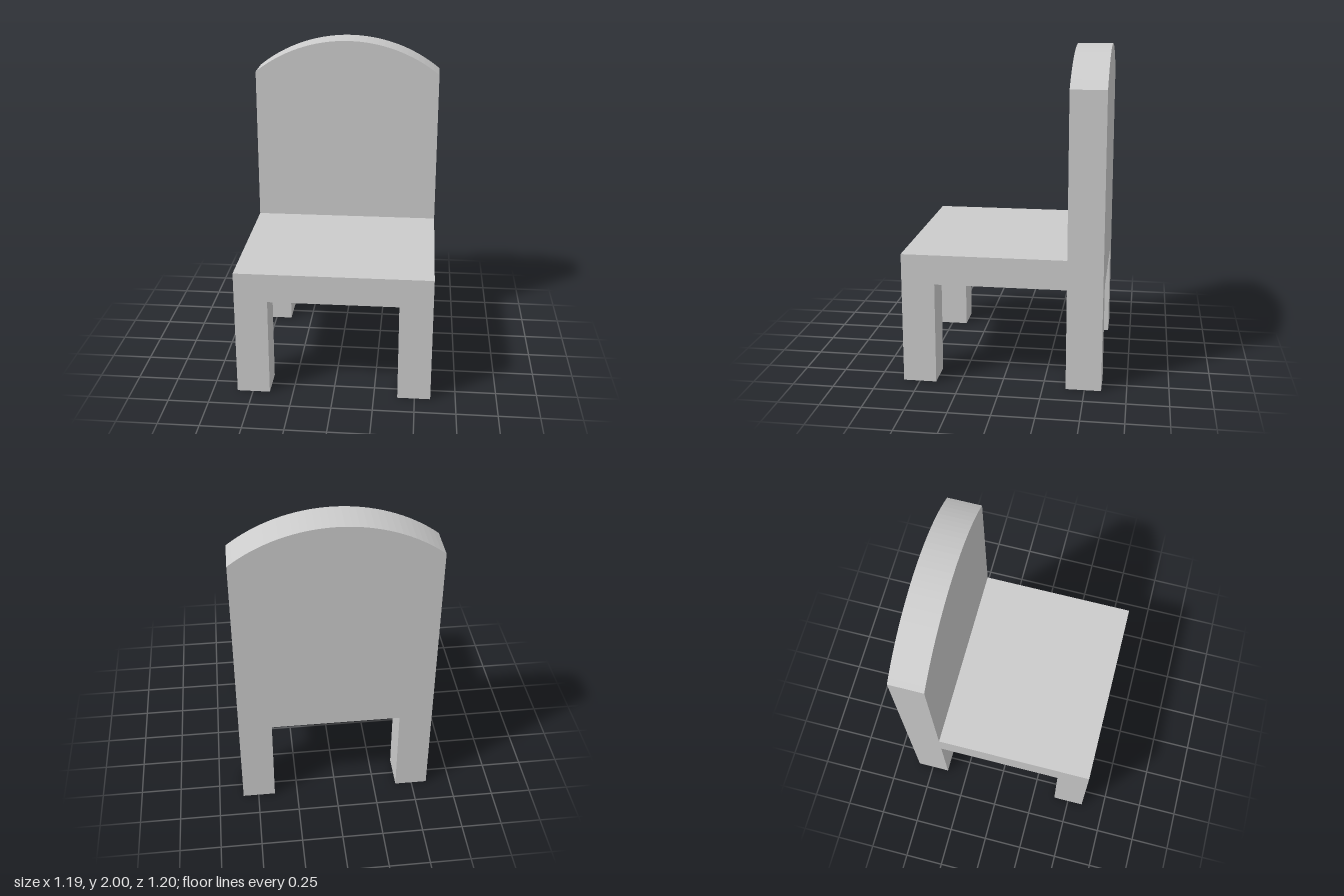
import * as THREE from 'three';

const material = new THREE.MeshStandardMaterial({ color: 0xcccccc, flatShading: true });

function box(name, x0, x1, y0, y1, z0, z1) {
  const mesh = new THREE.Mesh(new THREE.BoxGeometry(x1 - x0, y1 - y0, z1 - z0), material);
  mesh.position.set((x0 + x1) / 2, (y0 + y1) / 2, (z0 + z1) / 2);
  mesh.name = name;
  return mesh;
}

export function createModel() {
  const group = new THREE.Group();
  group.name = 'chair';

  const half = 0.597, inner = 0.395, seatTop = 0.8, seatBottom = 0.62;
  const backZ = -0.6, backFront = -0.388, shoulder = 1.79;

  // Seat slab, meeting the front of the backrest
  group.add(box('seat', -half, half, seatBottom, seatTop, backFront, 0.6));

  // Front legs
  for (const [name, side] of [['leftFrontLeg', 1], ['rightFrontLeg', -1]]) {
    const [a, b] = side > 0 ? [inner, half] : [-half, -inner];
    group.add(box(name, a, b, 0, seatBottom, 0.4, 0.6));
  }

  // Backrest with a shallow arched top; its sides run down as the rear legs
  const radius = (half ** 2 + (2 - shoulder) ** 2) / (2 * (2 - shoulder));
  const centreY = 2 - radius;
  const angle = Math.asin(half / radius);
  const railBottom = 0.59;
  const shape = new THREE.Shape();
  shape.moveTo(-half, 0);
  shape.lineTo(-inner, 0);
  shape.lineTo(-inner, railBottom);
  shape.lineTo(inner, railBottom);
  shape.lineTo(inner, 0);
  shape.lineTo(half, 0);
  shape.lineTo(half, shoulder);
  shape.absarc(0, centreY, radius, Math.PI / 2 - angle, Math.PI / 2 + angle, false);
  shape.closePath();
  const back = new THREE.Mesh(
    new THREE.ExtrudeGeometry(shape, { depth: backFront - backZ, bevelEnabled: false, curveSegments: 16 }),
    material
  );
  back.position.z = backZ;
  back.name = 'backrestAndRearLegs';
  group.add(back);

  return group;
}
